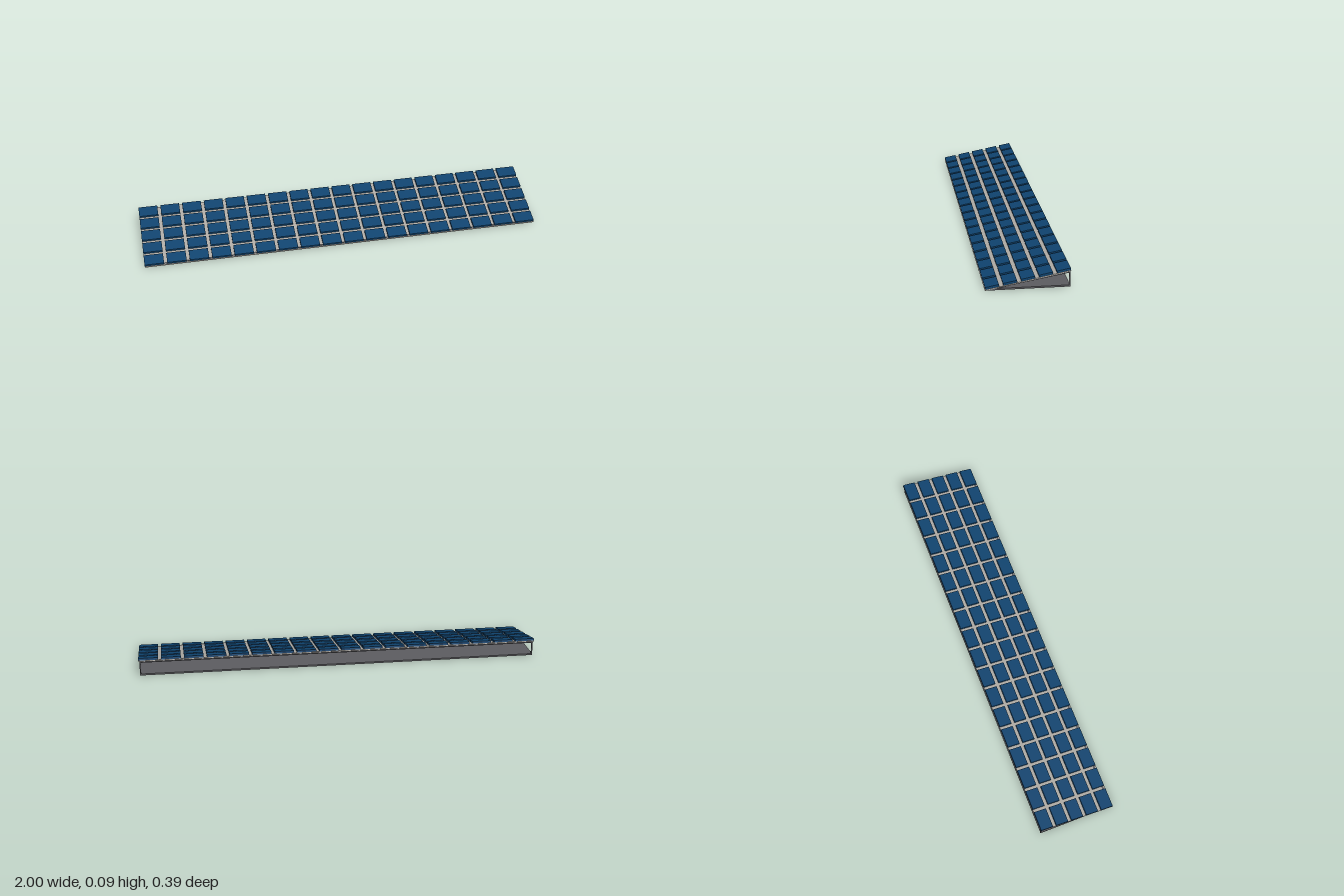
import * as THREE from 'three';

const SLOPE = Math.atan(0.193);

export function createModel() {
  const model = new THREE.Group();
  model.name = 'solarPanelArray';
  const cellMat = new THREE.MeshStandardMaterial({ color: 0x0f4470 });
  const deckMat = new THREE.MeshStandardMaterial({ color: 0xb0aca6 });
  const frameMat = new THREE.MeshStandardMaterial({ color: 0x5c5c60 });

  function box(name, size, pos, mat, parent = model, tilt = 0) {
    const mesh = new THREE.Mesh(new THREE.BoxGeometry(...size), mat);
    mesh.name = name;
    mesh.position.set(...pos);
    mesh.rotation.x = tilt;
    parent.add(mesh);
    return mesh;
  }

  // Flat base
  box('basePlate', [1.99, 0.008, 0.376], [0, 0.004, 0], frameMat);

  // End frames: rear post and sloping rail
  const frame = new THREE.Group();
  frame.name = 'supportFrame';
  model.add(frame);
  for (const side of [-1, 1]) {
    box('rearPost', [0.006, 0.072, 0.006], [side * 0.992, 0.036, -0.186], frameMat, frame);
    box('slopingRail', [0.006, 0.005, 0.366], [side * 0.992, 0.0375, -0.006], frameMat, frame, Math.atan(0.176));
  }
  box('rearTopRail', [1.99, 0.005, 0.006], [0, 0.07, -0.186], frameMat, frame);

  // Sloping deck with the grid of cells on top; local y is the deck normal
  const panel = new THREE.Group();
  panel.name = 'tiltedPanel';
  panel.position.set(0, 0.0405, 0);
  panel.rotation.x = SLOPE;
  model.add(panel);
  box('deck', [2, 0.004, 0.392], [0, 0, 0.002], deckMat, panel);

  const columns = 18, rows = 5, pitchX = 0.112, pitchZ = 0.0815;
  for (let r = 0; r < rows; r++) {
    for (let c = 0; c < columns; c++) {
      const x = (c - (columns - 1) / 2) * pitchX;
      const z = (r - (rows - 1) / 2) * pitchZ;
      box('solarCell', [0.096, 0.0105, 0.063], [x, 0.0083, z], cellMat, panel);
    }
  }
  return model;
}
